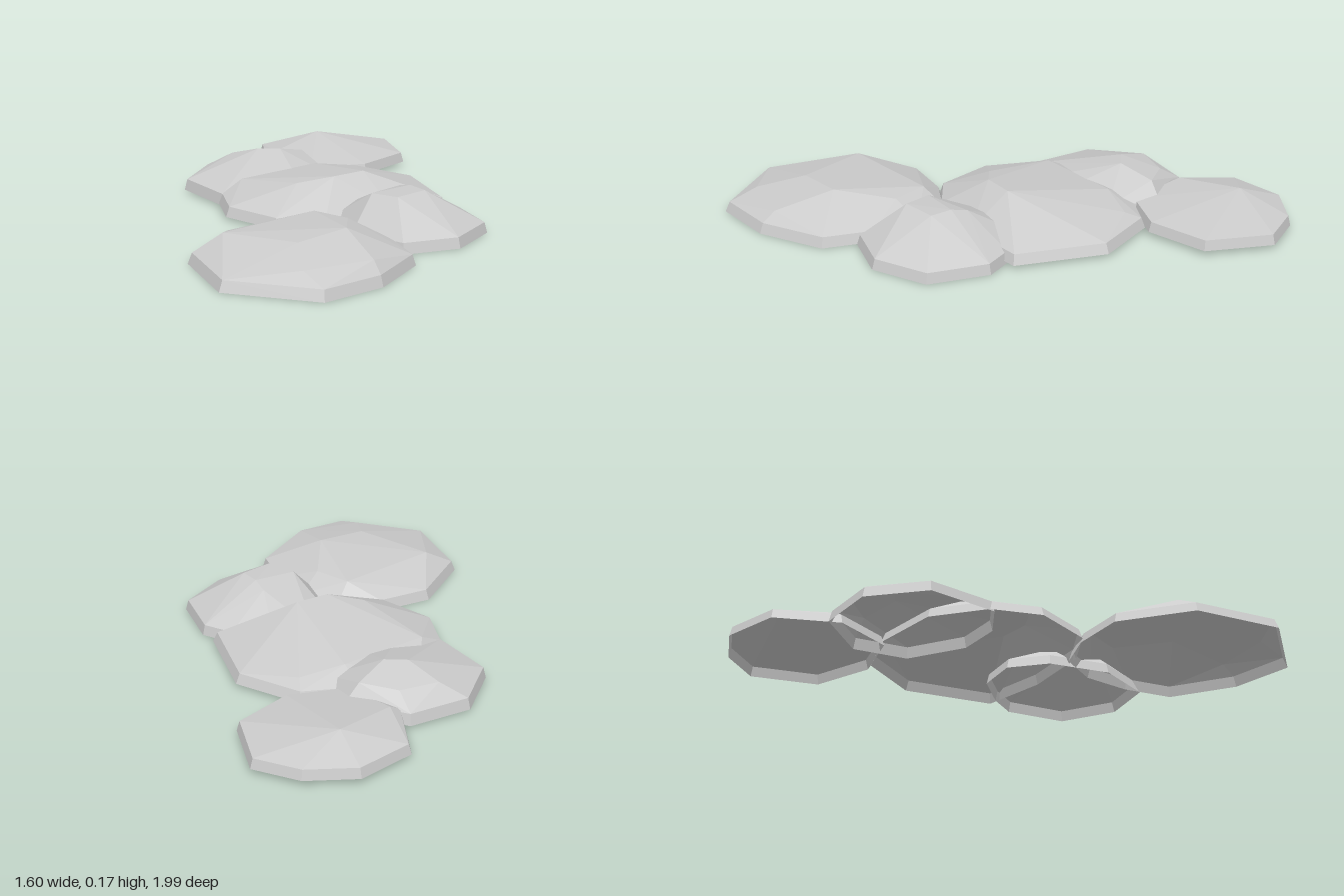
import * as THREE from 'three';
import { ConvexGeometry } from 'three/addons/geometries/ConvexGeometry.js';

const material = new THREE.MeshStandardMaterial({ color: 0xcccccc, flatShading: true, side: THREE.DoubleSide });

// A faceted slab: ground outline [x, z], a slightly inset rim, and crown points [x, y, z]; open underneath.
function makeRock(name, baseY, rimY, outline, crown) {
  const n = outline.length;
  const cx = outline.reduce((s, p) => s + p[0], 0) / n;
  const cz = outline.reduce((s, p) => s + p[1], 0) / n;
  const points = crown.map((p) => new THREE.Vector3(...p));
  for (const [x, z] of outline) {
    points.push(new THREE.Vector3(x, baseY, z));
    points.push(new THREE.Vector3(cx + (x - cx) * 0.965, rimY, cz + (z - cz) * 0.965));
  }
  const hull = new ConvexGeometry(points);

  // Drop the flat underside
  const pos = hull.getAttribute('position');
  const kept = [];
  for (let i = 0; i < pos.count; i += 3) {
    const onGround = [0, 1, 2].every((k) => Math.abs(pos.getY(i + k) - baseY) < 1e-4);
    if (onGround) continue;
    for (let k = 0; k < 3; k++) kept.push(pos.getX(i + k), pos.getY(i + k), pos.getZ(i + k));
  }
  const geometry = new THREE.BufferGeometry();
  geometry.setAttribute('position', new THREE.Float32BufferAttribute(kept, 3));
  geometry.computeVertexNormals();
  const mesh = new THREE.Mesh(geometry, material);
  mesh.name = name;
  return mesh;
}

export function createModel() {
  const group = new THREE.Group();
  group.name = 'flatRocks';

  // Low slab at the far back
  group.add(makeRock('backRock', 0.02, 0.06,
    [[0.25, -0.94], [0.49, -1], [0.68, -0.91], [0.8, -0.75], [0.72, -0.48], [0.47, -0.385], [0.23, -0.45], [0.14, -0.69]],
    [[0.47, 0.12, -0.81], [0.2, 0.085, -0.7]]));

  // Rounder slab behind the middle
  group.add(makeRock('backLeftRock', 0.01, 0.055,
    [[-0.31, -0.565], [-0.12, -0.75], [0.14, -0.75], [0.31, -0.545], [0.27, -0.32], [0.05, -0.18], [-0.14, -0.18], [-0.29, -0.27]],
    [[0.02, 0.155, -0.53], [0.1, 0.155, -0.48], [-0.03, 0.113, -0.67], [0.13, 0.11, -0.65], [0.24, 0.12, -0.54]]));

  // Large central slab
  group.add(makeRock('middleRock', 0.015, 0.055,
    [[0.42, -0.4], [0.56, -0.15], [0.48, 0.22], [0.2, 0.27], [-0.1, 0.25], [-0.275, 0.155], [-0.36, -0.09], [-0.29, -0.29], [-0.1, -0.45], [0.2, -0.48]],
    [[0.17, 0.175, 0.08], [0.03, 0.172, 0.09], [-0.1, 0.145, 0.02], [0.38, 0.08, -0.33], [0.2, 0.105, -0.36], [-0.18, 0.1, -0.3]]));

  // Broad slab at the front
  group.add(makeRock('frontRock', 0, 0.042,
    [[-0.8, 0.71], [-0.535, 0.99], [-0.27, 0.945], [-0.03, 0.785], [0.01, 0.58], [0, 0.38], [-0.09, 0.22], [-0.265, 0.155], [-0.49, 0.15], [-0.745, 0.35]],
    [[-0.24, 0.138, 0.64], [-0.46, 0.122, 0.67], [-0.27, 0.085, 0.88], [-0.54, 0.078, 0.85], [-0.61, 0.105, 0.37], [-0.17, 0.105, 0.28], [-0.11, 0.105, 0.43]]));

  // Small steep rock at the front
  group.add(makeRock('smallRock', 0, 0.042,
    [[0.41, 0.2], [0.48, 0.315], [0.44, 0.565], [0.23, 0.69], [0, 0.65], [-0.09, 0.42], [-0.03, 0.17], [0.1, 0.05], [0.28, 0.07]],
    [[0.23, 0.17, 0.44], [0.085, 0.17, 0.475], [0.04, 0.165, 0.36], [0.22, 0.172, 0.35], [0.22, 0.155, 0.28]]));

  return group;
}
